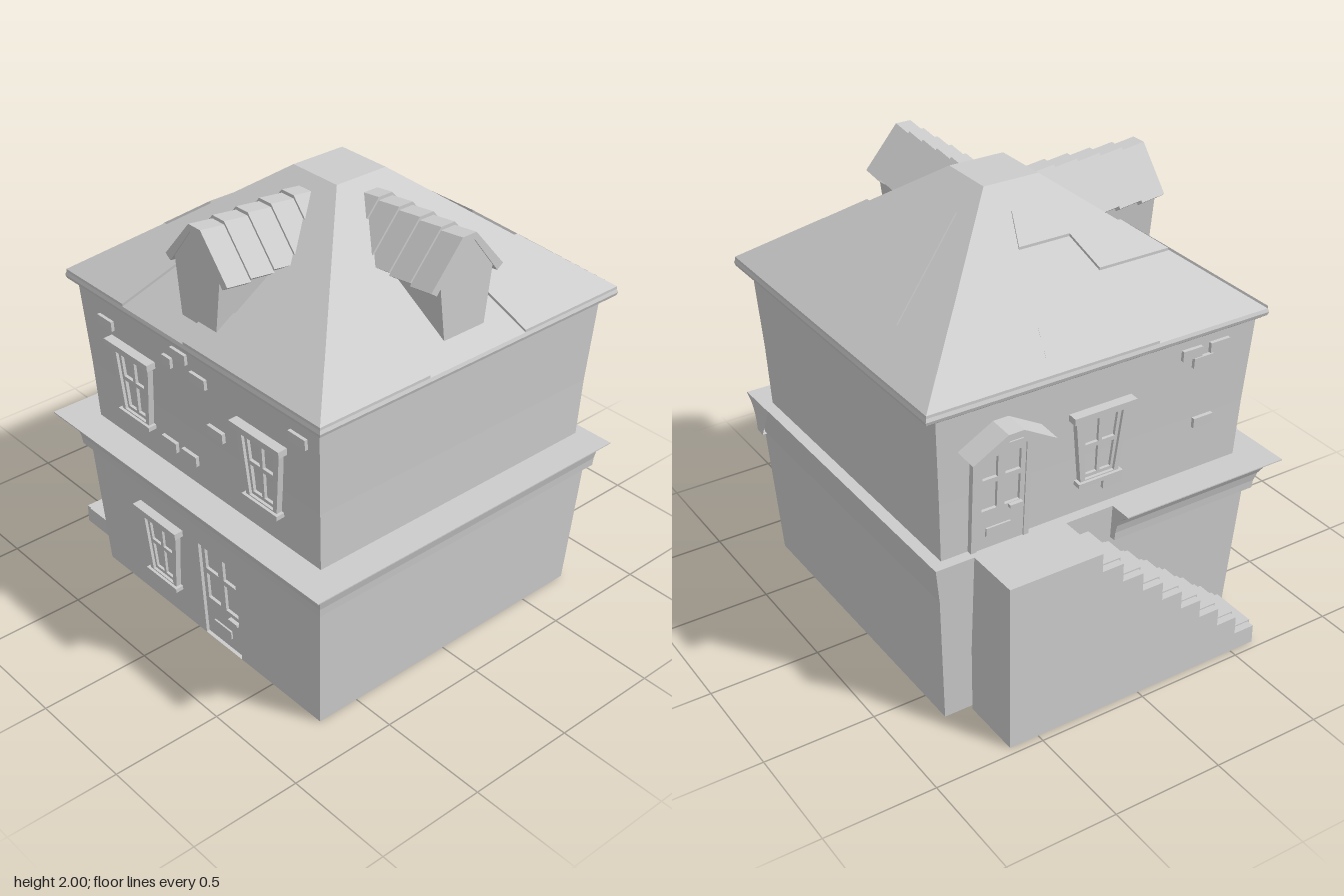
import * as THREE from 'three';

const grey = new THREE.MeshStandardMaterial({ color: 0xcccccc, flatShading: true, side: THREE.DoubleSide });
grey.name = 'plaster grey';

function add(parent, name, geometry, x = 0, y = 0, z = 0) {
  const mesh = new THREE.Mesh(geometry, grey);
  mesh.name = name;
  mesh.position.set(x, y, z);
  parent.add(mesh);
  return mesh;
}

function group(parent, name, x = 0, y = 0, z = 0, turn = 0, tilt = 0) {
  const g = new THREE.Group();
  g.name = name;
  g.position.set(x, y, z);
  g.rotation.set(tilt, turn, 0, 'YXZ');
  parent.add(g);
  return g;
}

function fromTriangles(pos) {
  const g = new THREE.BufferGeometry();
  g.setAttribute('position', new THREE.Float32BufferAttribute(pos.flat(), 3));
  g.computeVertexNormals();
  return g;
}

// Stacked rectangles [x0, x1, z0, z1, y]; the front side can be left open
function loft(rings, openFront = false) {
  const tris = [];
  const c = rings.map(([x0, x1, z0, z1, y]) => [[x0, y, z1], [x1, y, z1], [x1, y, z0], [x0, y, z0]]);
  for (let i = 0; i + 1 < c.length; i++) {
    for (let k = openFront ? 1 : 0; k < 4; k++) {
      const n = (k + 1) % 4, a = c[i], b = c[i + 1];
      tris.push(a[k], a[n], b[n], a[k], b[n], b[k]);
    }
  }
  const lo = c[0], hi = c[c.length - 1];
  tris.push(lo[0], lo[2], lo[1], lo[0], lo[3], lo[2], hi[0], hi[1], hi[2], hi[0], hi[2], hi[3]);
  return fromTriangles(tris);
}

const shapeOf = (pts) => new THREE.Shape(pts.map(([x, y]) => new THREE.Vector2(x, y)));
const rect = (x0, y0, x1, y1) => [[x0, y0], [x1, y0], [x1, y1], [x0, y1]];

function plate(outline, depth, holes = []) {
  const s = shapeOf(outline);
  s.holes = holes.map((h) => new THREE.Path(h.map(([x, y]) => new THREE.Vector2(x, y))));
  return new THREE.ExtrudeGeometry(s, { depth, bevelEnabled: false });
}

function warp(geometry, rule) {
  const p = geometry.attributes.position, v = new THREE.Vector3();
  for (let i = 0; i < p.count; i++) {
    rule(v.fromBufferAttribute(p, i));
    p.setXYZ(i, v.x, v.y, v.z);
  }
  geometry.computeVertexNormals();
  return geometry;
}

// Window that widens upward, with four panes, lintel and sill
function addWindow(parent, x, y) {
  const g = group(parent, 'window', x, y, 0);
  const flare = (v) => { v.x *= 1 + 0.42 * v.y / 0.31; };
  const both = (y0, y1) => [rect(-0.058, y0, -0.007, y1), rect(0.007, y0, 0.058, y1)];
  add(g, 'windowCasing', warp(plate(rect(-0.092, 0, 0.092, 0.32), 0.045, [rect(-0.07, 0.015, 0.07, 0.3)]), flare), 0, 0, -0.02);
  add(g, 'windowSash', warp(plate(rect(-0.071, 0.01, 0.071, 0.305), 0.03, [...both(0.03, 0.155), ...both(0.175, 0.285)]), flare), 0, 0, -0.018);
  add(g, 'windowLintel', new THREE.BoxGeometry(0.3, 0.03, 0.06), 0, 0.325, 0.012);
  add(g, 'windowSill', new THREE.BoxGeometry(0.215, 0.02, 0.055), 0, 0, 0.01);
}

// Panelled door with letter flap and handle
function addDoor(parent, name, x, z, w = 0.24, h = 0.49) {
  const g = group(parent, name, x, 0, z);
  const e = w / 2 - 0.022, holes = [];
  for (const s of [-1, 1]) {
    for (const [a, b] of [[0.2, 0.335], [0.36, 0.465]]) {
      holes.push(rect(Math.min(s * 0.018, s * e), a * h / 0.49, Math.max(s * 0.018, s * e), b * h / 0.49));
    }
  }
  add(g, 'doorBacking', new THREE.BoxGeometry(w, h, 0.02), 0, h / 2, -0.01);
  add(g, 'doorLeaf', plate(rect(-w / 2, 0, w / 2, h), 0.014, holes));
  add(g, 'letterFlap', new THREE.BoxGeometry(0.115, 0.04, 0.014), -0.01, 0.08, 0.015);
  add(g, 'doorHandle', new THREE.BoxGeometry(0.06, 0.014, 0.02), w / 2 - 0.045, 0.175, 0.022);
}

function addBrick(parent, x0, y0, w = 0.097) {
  add(parent, 'brick', new THREE.BoxGeometry(w, 0.046, 0.03), x0 + w / 2, y0 + 0.023, 0);
}

// Gabled hood section: half width, eave, ridge half width and ridge heights
function chevron(w, eave, r, top, t) {
  return [[-w, eave], [-r, top], [r, top], [w, eave], [w - 0.03, eave - t * 0.7], [r * 0.8, top - t], [-r * 0.8, top - t], [-w + 0.03, eave - t * 0.7]];
}

function addDormer(parent, x, z, turn) {
  const g = group(parent, 'dormer', x, 0, z, turn);
  const wall = [[-0.105, 1.53], [0.105, 1.53], [0.14, 1.8], [0.035, 1.95], [-0.035, 1.95], [-0.14, 1.8]];
  add(g, 'dormerWall', plate(wall, 0.5), 0, 0, -0.505);
  // overlapping roof courses, each lifted at its front edge
  for (let i = 0; i < 5; i++) {
    const course = plate(chevron(0.192, 1.772, 0.036, 1.955, 0.03), 0.115);
    add(g, 'dormerRoofCourse', warp(course, (v) => { if (v.z > 0.05) v.y += 0.014; }), 0, 0, -0.115 * (i + 1));
  }
}

const roofY = (x, z) => 1.485 + 0.515 * Math.min((x + 0.73) / 0.67, (0.88 - x) / 0.68, (z + 0.845) / 0.675, (0.77 - z) / 0.68);

// Thin shingle layer lying on a roof slope, outlined in [x, z]
function addPatch(parent, pts) {
  const g = plate(pts.map(([x, z]) => [x, -z]), 0.022).rotateX(-Math.PI / 2);
  add(parent, 'roofPatch', warp(g, (v) => { v.y += roofY(v.x, v.z) - 0.01; }));
}

export function createModel() {
  const house = new THREE.Group();
  house.name = 'house';

  // Lower storey with a doorway cut into its front
  add(house, 'lowerWalls', loft([[-0.66, 0.8, -0.755, 0.7, 0], [-0.7, 0.84, -0.79, 0.735, 0.62]], true));
  const front = [[-0.66, 0], [0.05, 0], [0.05, 0.495], [0.295, 0.495], [0.295, 0], [0.8, 0], [0.84, 0.62], [-0.7, 0.62]];
  add(house, 'lowerFrontWall', warp(new THREE.ShapeGeometry(shapeOf(front)), (v) => { v.z = 0.7 + 0.0565 * v.y; }));
  add(house, 'floorBand', loft([[-0.7, 0.84, -0.79, 0.735, 0.62], [-0.71, 0.85, -0.81, 0.735, 0.78]]));
  const lower = group(house, 'lowerFront', 0, 0, 0.7, 0, 0.0565);
  const jamb = [[0.03, 0], [0.05, 0], [0.05, 0.495], [0.295, 0.495], [0.295, 0], [0.315, 0], [0.315, 0.515], [0.03, 0.515]];
  add(lower, 'doorJamb', plate(jamb, 0.045), 0, 0, -0.046);
  addDoor(lower, 'frontDoor', 0.1725, -0.03, 0.245, 0.495);
  addWindow(lower, -0.205, 0.16);

  // Flared cornice round the left, front and part of the right side
  const profile = [[-0.02, 0.62], [0.03, 0.622], [0.034, 0.66], [0.045, 0.7], [0.065, 0.735], [0.09, 0.76], [0.115, 0.775], [0.115, 0.78], [-0.1, 0.78]];
  const rows = profile.map(([o, y]) => [[-0.7 - o, y, 0.03], [-0.7 - o, y, 0.73 + o], [0.84 + o, y, 0.73 + o], [0.84 + o, y, -0.812]]);
  const tris = [];
  for (let i = 0; i + 1 < rows.length; i++) {
    const a = rows[i], b = rows[i + 1];
    for (let k = 0; k < 3; k++) tris.push(a[k], a[k + 1], b[k + 1], a[k], b[k + 1], b[k]);
    tris.push(rows[8][0], a[0], b[0], rows[8][3], b[3], a[3]);
  }
  add(house, 'cornice', fromTriangles(tris));

  // Upper storey
  add(house, 'upperWalls', loft([[-0.66, 0.805, -0.757, 0.7, 0.77], [-0.675, 0.815, -0.768, 0.712, 1.05], [-0.7, 0.84, -0.79, 0.737, 1.45]]));
  const upper = group(house, 'upperFront', 0, 0.78, 0.7, 0, 0.053);
  for (const x of [-0.34, 0.49]) addWindow(upper, x, 0.15);
  const bricks = [[-0.56, 0.52], [-0.115, 0.525, 0.055], [-0.053, 0.587], [0.065, 0.525], [0.67, 0.55], [0.155, 0.315], [-0.175, 0.1], [-0.04, 0.1]];
  for (const b of bricks) addBrick(upper, ...b);

  // Side entrance with hood, window and bricks
  const side = group(house, 'upperSide', -0.66, 0.78, 0, -Math.PI / 2, 0.06);
  addDoor(side, 'sideDoor', -0.5, 0.005, 0.22, 0.45);
  add(side, 'sideDoorFrame', plate(rect(-0.135, 0, 0.135, 0.475), 0.03, [rect(-0.11, -0.001, 0.11, 0.45).map(([x, y]) => [x, y + 0.002])]), -0.5, 0, -0.005);
  add(side, 'doorHood', plate(chevron(0.19, 0.49, 0.035, 0.58, 0.03), 0.12), -0.5, 0, -0.01);
  addWindow(side, -0.03, 0.15);
  for (const b of [[0.42, 0.52], [0.36, 0.57], [0.5, 0.57], [0.45, 0.22], [0, 0.08]]) addBrick(side, ...b);

  // Outside staircase with landing
  const stairs = group(house, 'stairs', -0.68, 0, 0, -Math.PI / 2);
  const run = 0.1025, rise = 0.78 / 9, outline = [[-0.635, 0], [0.62, 0]];
  for (let i = 0; i < 8; i++) {
    outline.push([0.62 - i * run, (i + 1) * rise], [0.62 - (i + 1) * run, (i + 1) * rise]);
    add(stairs, 'tread', new THREE.BoxGeometry(run + 0.01, 0.022, 0.22), 0.62 - (i + 0.5) * run + 0.004, (i + 1) * rise - 0.005, 0.14);
  }
  outline.push([-0.2, 0.78], [-0.635, 0.78]);
  add(stairs, 'stairBlock', plate(outline, 0.285));
  add(house, 'landingFill', new THREE.BoxGeometry(0.1, 0.02, 0.435), -0.7, 0.77, -0.4175);

  // Hipped roof with rounded eave and shingle layers
  add(house, 'roof', loft([[-0.71, 0.86, -0.825, 0.75, 1.44], [-0.73, 0.88, -0.845, 0.77, 1.455], [-0.735, 0.885, -0.85, 0.775, 1.47], [-0.73, 0.88, -0.845, 0.77, 1.485], [-0.06, 0.2, -0.17, 0.09, 2]]));
  const patches = [
    [[-0.73, 0.77], [-0.43, 0.47], [-0.18, 0.47], [-0.33, 0.77]],
    [[0.07, 0.77], [0.07, 0.61], [0.72, 0.61], [0.88, 0.77]],
    [[0.88, 0.77], [0.72, 0.61], [0.72, 0.17], [0.88, 0.22]],
    [[0.88, -0.845], [0.58, -0.55], [0.58, -0.2], [0.88, -0.3]],
    [[-0.73, -0.845], [-0.57, -0.69], [0.07, -0.69], [0.07, -0.555], [0.587, -0.555], [0.88, -0.845]],
    [[-0.25, -0.69], [-0.05, -0.29], [0.07, -0.29], [0.07, -0.42], [0.45, -0.42], [0.585, -0.555], [0.07, -0.555], [0.07, -0.69]],
    [[-0.73, -0.845], [-0.44, -0.55], [-0.44, -0.21], [-0.73, -0.3]],
    [[-0.73, -0.3], [-0.57, -0.25], [-0.57, 0.17], [-0.73, 0.22]],
    [[-0.3, -0.16], [-0.17, -0.11], [-0.17, 0.03], [-0.3, 0.08]],
    [[-0.3, 0.08], [-0.44, 0.13], [-0.44, 0.47], [-0.3, 0.33]],
  ];
  for (const p of patches) addPatch(house, p);

  // Two dormers
  addDormer(house, 0.075, 0.695, 0);
  addDormer(house, 0.8, -0.04, Math.PI / 2);

  return house;
}
